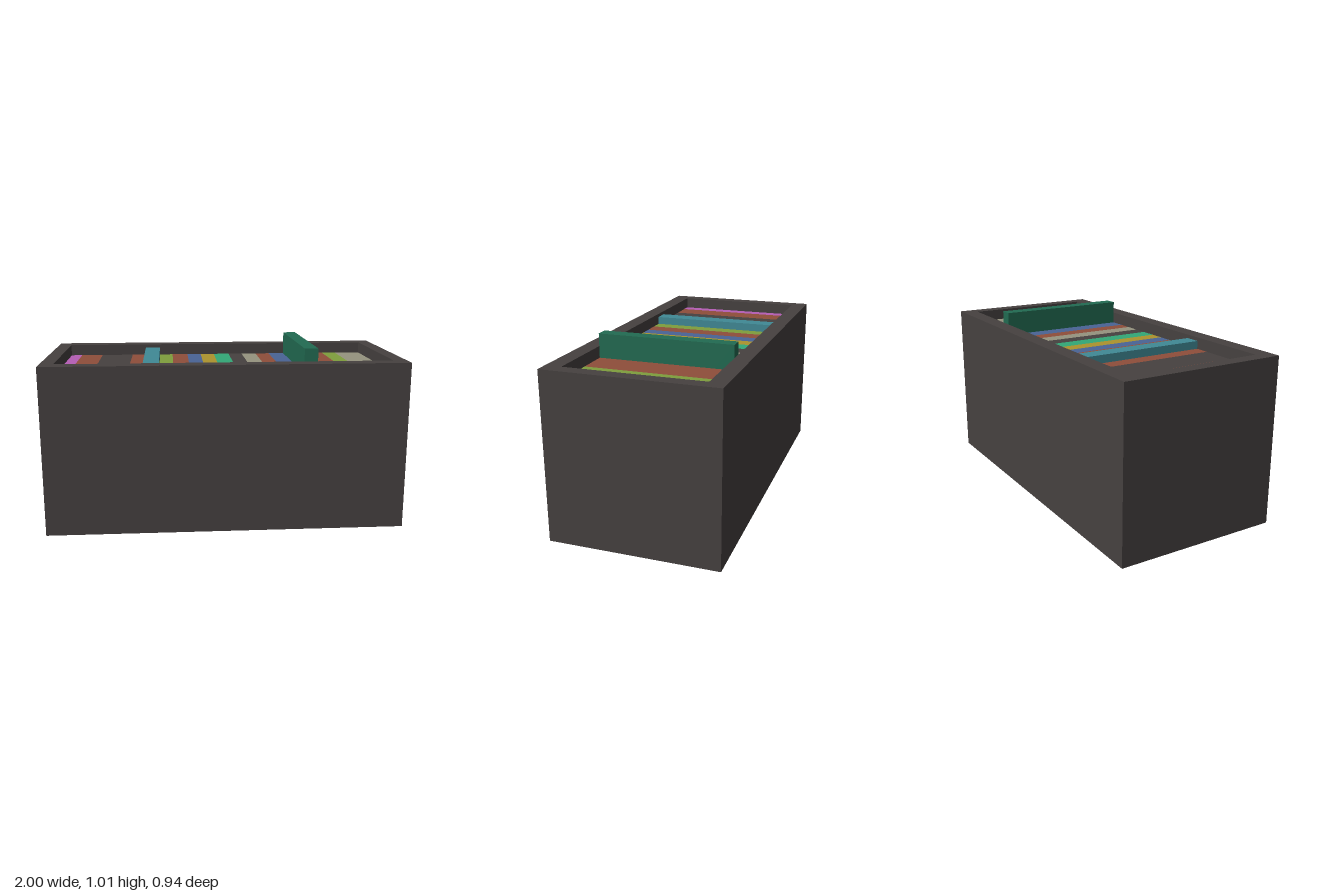
import * as THREE from 'three';

export function createModel() {
  const model = new THREE.Group();
  const mat = (name, color) => {
    const m = new THREE.MeshStandardMaterial({ color });
    m.name = name;
    return m;
  };
  const charcoal = mat('charcoal', 0x464140);
  const pink = mat('pink', 0xb55db5);
  const brown = mat('brown', 0x8f4e3b);
  const teal = mat('teal', 0x408a96);
  const lime = mat('lime', 0x7f9f3d);
  const blue = mat('blue', 0x4a6496);
  const mustard = mat('mustard', 0xad942e);
  const emerald = mat('emerald', 0x33a877);
  const beige = mat('beige', 0x96947f);
  const green = mat('green', 0x226b52);

  const H = 0.94, halfX = 1, halfZ = 0.47, inX = 0.925, inZ = 0.38, floorY = 0.07;
  const add = (name, geometry, material) => {
    const mesh = new THREE.Mesh(geometry, material);
    mesh.name = name;
    model.add(mesh);
    return mesh;
  };
  const rect = (target, x, z) => {
    target.moveTo(-x, -z);
    target.lineTo(x, -z);
    target.lineTo(x, z);
    target.lineTo(-x, z);
    target.closePath();
    return target;
  };

  // Crate: four walls as one hollow frame, with a floor filling the hole
  const frame = rect(new THREE.Shape(), halfX, halfZ);
  frame.holes.push(rect(new THREE.Path(), inX, inZ));
  const walls = new THREE.ExtrudeGeometry(frame, { depth: H, bevelEnabled: false });
  walls.rotateX(-Math.PI / 2);
  add('crateWalls', walls, charcoal);
  add('crateFloor', new THREE.BoxGeometry(inX * 2, floorY, inZ * 2), charcoal)
    .position.y = floorY / 2;

  // Row of upright books: right edge, colour, top height
  const level = 0.875;
  const books = [
    [-0.86, pink], [-0.73, brown], [-0.54, charcoal], [-0.455, brown],
    [-0.365, teal, 0.92], [-0.285, lime], [-0.19, brown], [-0.105, blue],
    [-0.02, mustard], [0.075, emerald], [0.16, charcoal], [0.25, beige],
    [0.335, brown], [0.43, blue], [0.505, green, 1.01], [0.685, brown],
    [0.77, lime], [inX, beige],
  ];
  let x0 = -inX;
  books.forEach(([x1, material, top = level], i) => {
    const h = top - floorY;
    add(`book${i + 1}`, new THREE.BoxGeometry(x1 - x0, h, inZ * 2), material)
      .position.set((x0 + x1) / 2, floorY + h / 2, 0);
    x0 = x1;
  });

  return model;
}
